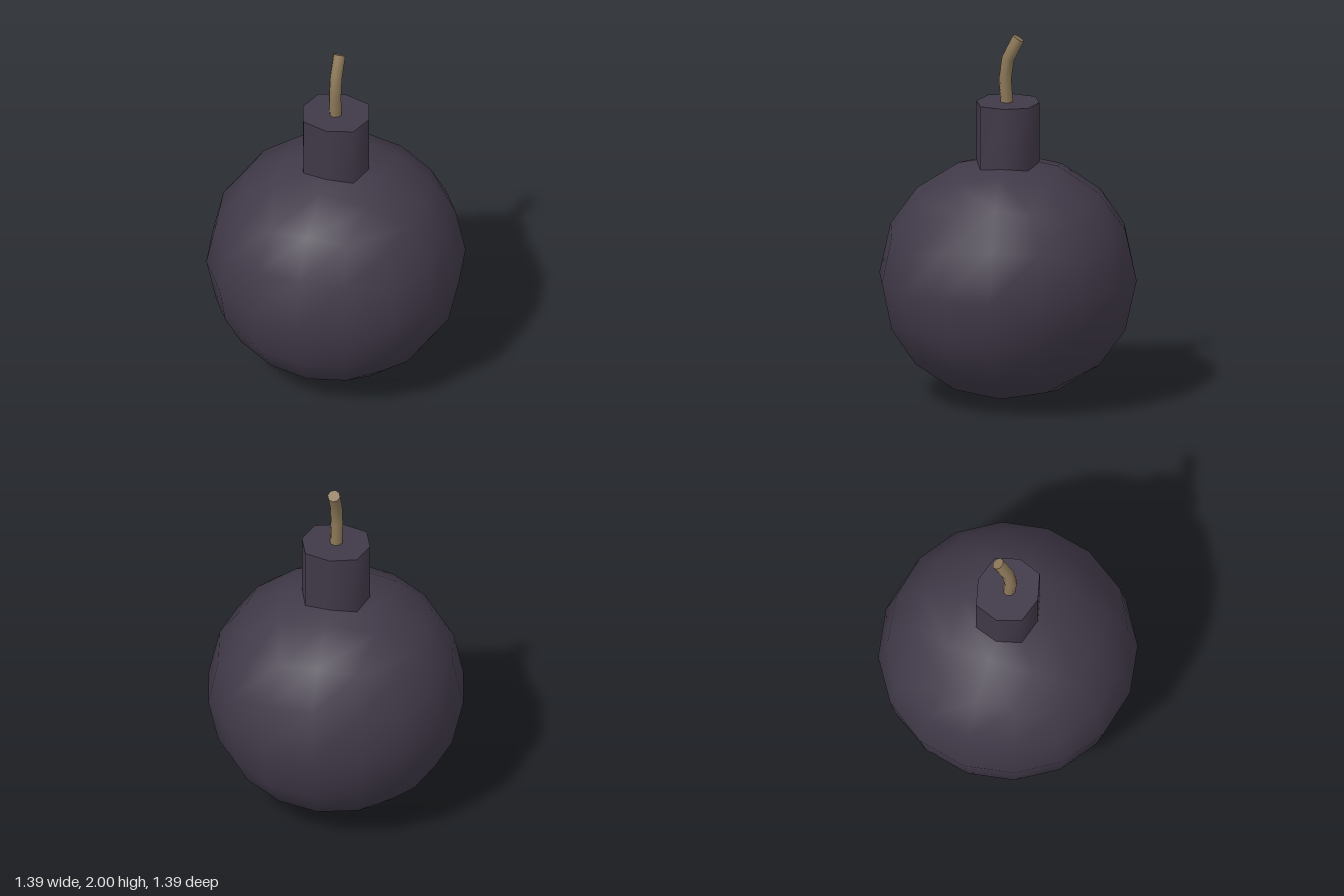
import * as THREE from 'three';
import { mergeVertices } from 'three/addons/utils/BufferGeometryUtils.js';

const iron = new THREE.MeshStandardMaterial({ name: 'dark iron', color: 0x403948 });
const rope = new THREE.MeshStandardMaterial({ name: 'rope', color: 0x8c7858 });

// Move every vertex by a rule
function reshape(geometry, rule) {
  const p = geometry.attributes.position;
  const v = new THREE.Vector3();
  for (let i = 0; i < p.count; i++) {
    rule(v.fromBufferAttribute(p, i));
    p.setXYZ(i, v.x, v.y, v.z);
  }
  return geometry;
}

// Weld shared corners and smooth; corners whose normals differ stay sharp unless dropped
function smooth(geometry, dropNormals = false) {
  geometry.deleteAttribute('uv');
  if (dropNormals) geometry.deleteAttribute('normal');
  const welded = mergeVertices(geometry);
  welded.computeVertexNormals();
  return welded;
}

function part(name, geometry, material) {
  const mesh = new THREE.Mesh(geometry, material);
  mesh.name = name;
  return mesh;
}

// Ball: a subdivided cube rounded into a slightly squat sphere
function ballGeometry() {
  const box = new THREE.BoxGeometry(2, 2, 2, 4, 4, 4);
  const spread = (t, k) => (Math.abs(t) > 0.9 ? t : t * 2 * k);
  reshape(box, (v) => {
    const kx = Math.abs(v.y) > 0.9 ? 0.455 : 0.42;
    v.set(spread(v.x, kx), spread(v.y, 0.45), spread(v.z, 0.42)).normalize();
    v.set(v.x * 0.695, 0.67 + v.y * 0.668, v.z * 0.695);
  });
  return smooth(box, true);
}

// Neck: an eight-sided collar, a little wider than deep
function neckGeometry() {
  const neck = new THREE.CylinderGeometry(1, 1, 0.4, 8);
  reshape(neck, (v) => {
    const diagonal = Math.abs(v.x) > 0.1 && Math.abs(v.z) > 0.1;
    const s = diagonal ? 1.075 : 1;
    v.set(v.x * 0.186 * s, v.y + 1.43, v.z * 0.17 * s);
  });
  return smooth(neck);
}

// Fuse: rings that follow a bend toward the back, each [y, z, tilt]
function fuseGeometry() {
  const rings = [[1.58, 0.003, -0.08], [1.755, 0.016, 0], [1.867, 0.0, 0.35], [1.98, -0.057, 0.56]];
  const fuse = new THREE.CylinderGeometry(0.034, 0.034, 3, 8, 3);
  reshape(fuse, (v) => {
    const [y, z, tilt] = rings[Math.round(v.y + 1.5)];
    v.set(v.x, y + v.z * Math.sin(tilt), z + v.z * Math.cos(tilt));
  });
  return smooth(fuse);
}

export function createModel() {
  const model = new THREE.Group();
  model.name = 'roundBomb';
  model.add(
    part('ball', ballGeometry(), iron),
    part('neck', neckGeometry(), iron),
    part('fuse', fuseGeometry(), rope),
  );
  return model;
}
